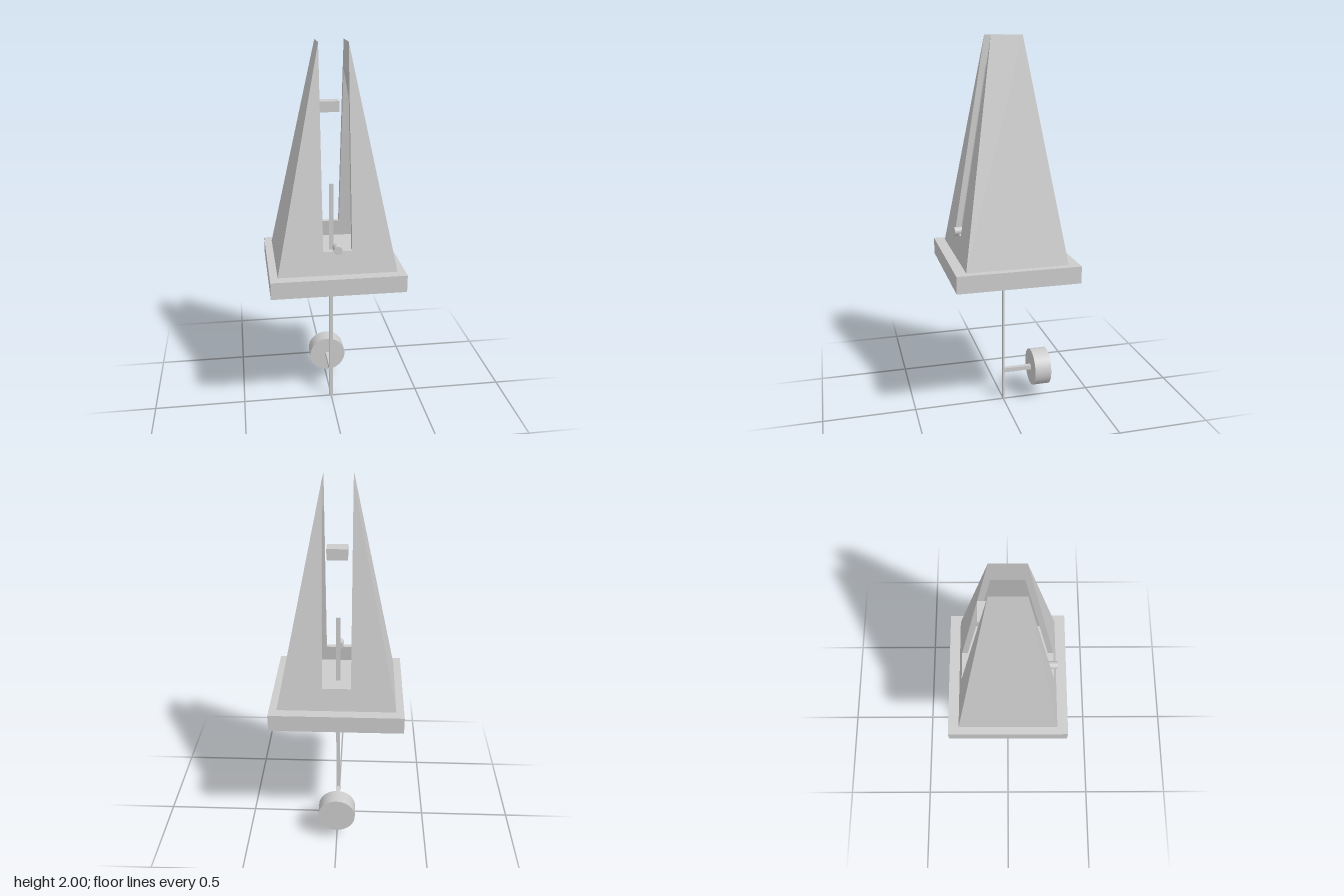
import * as THREE from 'three';

// Hollow tapered body: half width and half depth at height y, inset by t
const BOTTOM = 0.88, TOP = 2, SLOT = 0.073, WALL = 0.03, SILL = 1, FLOOR = 0.91;
const slopeX = (0.305 - SLOT) / (TOP - BOTTOM);
const slopeZ = (0.264 - 0.08) / (TOP - BOTTOM);
const halfW = (y, t = 0) => 0.305 - slopeX * (y - BOTTOM) - t;
const halfD = (y, t = 0) => 0.264 - slopeZ * (y - BOTTOM) - t;
const INNER_TOP = TOP - WALL / slopeX;

function bodyGeometry() {
  const pos = [];
  // Adds a convex polygon, mirrored by mx and mz with its winding kept outward
  const face = (pts, mx = 1, mz = 1) => {
    const p = pts.map(([x, y, z]) => [x * mx, y, z * mz]);
    if (mx * mz < 0) p.reverse();
    for (let i = 1; i < p.length - 1; i++) pos.push(...p[0], ...p[i], ...p[i + 1]);
  };
  const at = (x, y, t = 0) => [x, y, halfD(y, t)];
  const back = ([x, y, z]) => [x, y, -z];
  const w0 = halfW(BOTTOM), w1 = halfW(FLOOR, WALL);

  for (const mx of [1, -1]) {
    for (const mz of [1, -1]) {
      // Front and back panels, their inner faces and the slot jambs
      face([at(SLOT, BOTTOM), at(w0, BOTTOM), at(SLOT, TOP)], mx, mz);
      face([at(SLOT, INNER_TOP, WALL), at(w1, FLOOR, WALL), at(SLOT, FLOOR, WALL)], mx, mz);
      face([at(SLOT, SILL, WALL), at(SLOT, SILL), at(SLOT, TOP), at(SLOT, INNER_TOP, WALL)], mx, mz);
    }
    // Sloping side, outside and inside, and the solid tip
    const a = at(w0, BOTTOM), b = at(SLOT, TOP);
    const c = at(w1, FLOOR, WALL), d = at(SLOT, INNER_TOP, WALL);
    face([a, back(a), back(b), b], mx);
    face([d, back(d), back(c), c], mx);
    face([back(d), d, b, back(b)], mx);
  }
  for (const mz of [1, -1]) {
    // Low wall below the slot
    face([at(-SLOT, BOTTOM), at(SLOT, BOTTOM), at(SLOT, SILL), at(-SLOT, SILL)], 1, mz);
    face([at(-SLOT, SILL, WALL), at(SLOT, SILL, WALL), at(SLOT, FLOOR, WALL), at(-SLOT, FLOOR, WALL)], 1, mz);
    face([at(-SLOT, SILL), at(SLOT, SILL), at(SLOT, SILL, WALL), at(-SLOT, SILL, WALL)], 1, mz);
  }
  const g = new THREE.BufferGeometry();
  g.setAttribute('position', new THREE.Float32BufferAttribute(pos, 3));
  g.computeVertexNormals();
  return g;
}

export function createModel() {
  const group = new THREE.Group();
  const grey = new THREE.MeshStandardMaterial({ color: 0xcccccc });
  grey.name = 'light grey';

  const add = (name, geometry, x = 0, y = 0, z = 0) => {
    const m = new THREE.Mesh(geometry, grey);
    m.name = name;
    m.position.set(x, y, z);
    group.add(m);
    return m;
  };
  const box = (name, w, h, d, x, y, z) => add(name, new THREE.BoxGeometry(w, h, d), x, y, z);
  const rod = (name, r, len, y, z, sides) =>
    add(name, new THREE.CylinderGeometry(r, r, len, sides).rotateX(Math.PI / 2), 0, y, z);

  // Case
  add('body', bodyGeometry());
  box('base', 0.69, 0.09, 0.64, 0, 0.835, 0);
  box('innerFloor', 2 * halfW(FLOOR, WALL), 0.03, 2 * halfD(FLOOR, WALL), 0, 0.895, 0);

  // Pendulum with its counterweight
  box('pendulumRod', 0.022, 1.28, 0.009, 0, 0.64, 0);
  box('weightArm', 0.024, 0.024, 0.165, 0, 0.18, -0.0825);
  rod('counterweight', 0.102, 0.092, 0.18, -0.206, 48);

  // Block near the top of the slot and catch knob at its foot
  box('topBlock', 0.102, 0.055, 0.073, 0, 1.668, -0.0985);
  rod('catchKnob', 0.022, 0.054, 1.01, 0.237, 24);

  // Winding key lying under the base: bow-tie handle and stem
  const bow = new THREE.Shape();
  bow.moveTo(0, 0.008);
  bow.lineTo(0.045, 0.012);
  bow.absarc(0.063, 0, 0.018, Math.PI * 0.75, -Math.PI * 0.75, true);
  bow.lineTo(0, -0.008);
  bow.lineTo(-0.045, -0.012);
  bow.absarc(-0.063, 0, 0.018, -Math.PI * 0.25, Math.PI * 0.25, true);
  bow.closePath();
  const handle = new THREE.ExtrudeGeometry(bow, { depth: 0.014, bevelEnabled: false, curveSegments: 10 });
  handle.rotateX(Math.PI / 2);
  add('keyHandle', handle, 0, 0.79, 0.137);
  box('keyStem', 0.022, 0.014, 0.17, 0, 0.783, 0.04);
  box('keyClip', 0.05, 0.005, 0.016, 0, 0.788, -0.19);

  return group;
}
